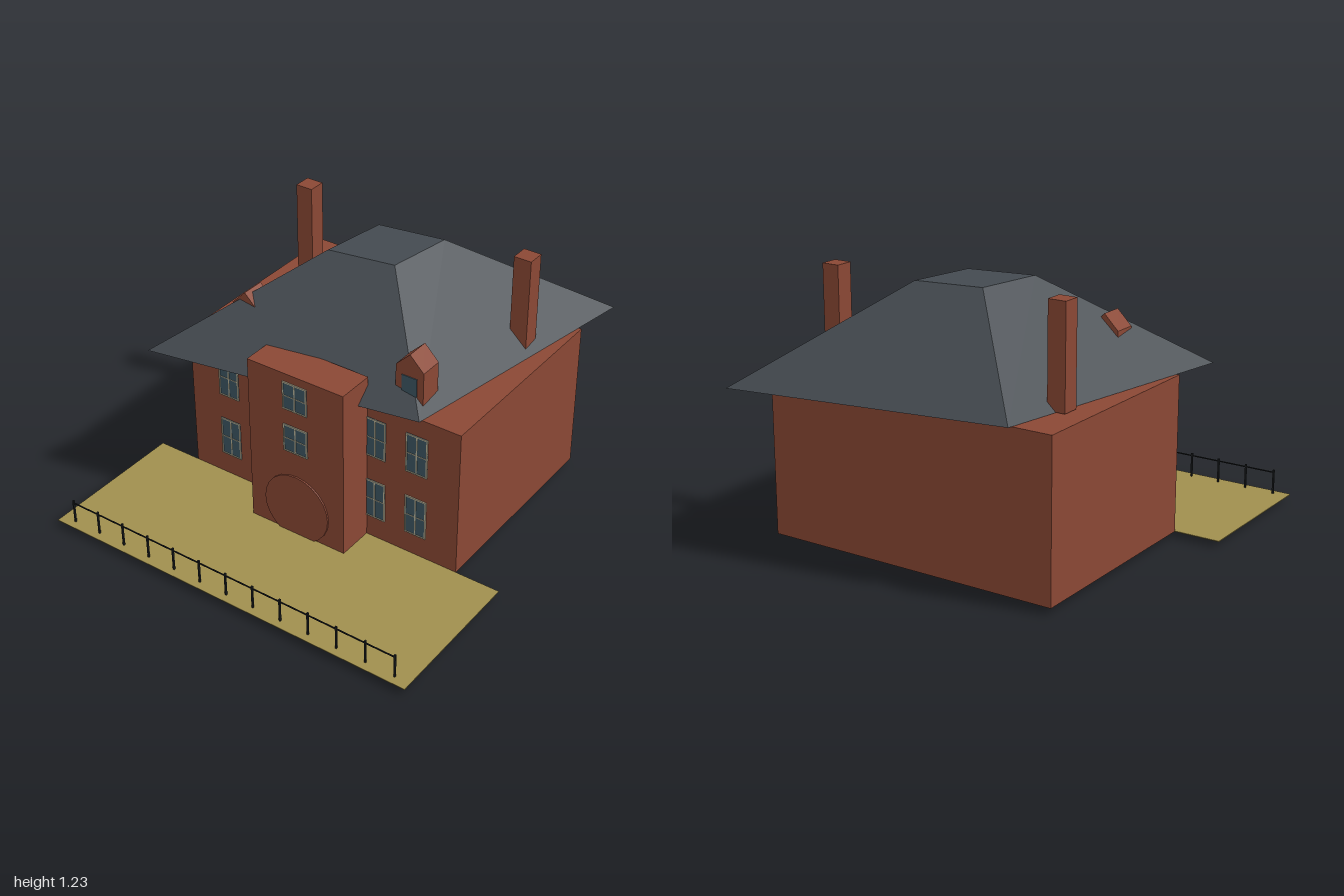
import * as THREE from 'three';

const mat = (name, color) => {
  const m = new THREE.MeshStandardMaterial({ color });
  m.name = name;
  return m;
};

export function createModel() {
  const brick = mat('brick', 0x8b4835);
  const slate = mat('slate', 0x444a50);
  const glass = mat('glass', 0x3e5763);
  const trim = mat('cream trim', 0xbdb79c);
  const grass = mat('dry lawn', 0xa08f4e);
  const iron = mat('dark iron', 0x1b1e20);
  const shade = mat('dark underside', 0x2a2010);
  const house = new THREE.Group();
  house.name = 'house';

  const add = (name, geometry, material, x = 0, y = 0, z = 0, parent = house) => {
    const mesh = new THREE.Mesh(geometry, material);
    mesh.name = name;
    mesh.position.set(x, y, z);
    parent.add(mesh);
    return mesh;
  };
  // Box given by its limits on each axis
  const box = (name, material, x0, x1, y0, y1, z0, z1, parent = house) =>
    add(name, new THREE.BoxGeometry(x1 - x0, y1 - y0, z1 - z0), material,
      (x0 + x1) / 2, (y0 + y1) / 2, (z0 + z1) / 2, parent);

  // Walls and projecting entrance bay
  box('walls', [brick, brick, brick, shade, brick, brick], -0.725, 0.725, 0.03, 0.76, -0.75, 0.27);
  box('entranceBay', brick, -0.253, 0.253, 0.03, 0.87, 0.265, 0.448);
  const disc = add('roundDoor', new THREE.CylinderGeometry(0.172, 0.172, 0.02, 24), brick, 0, 0.174, 0.446);
  disc.rotation.x = Math.PI / 2;

  // Lawn in front
  box('lawn', grass, -0.945, 0.945, 0.028, 0.032, 0.271, 1);

  // Twisted hipped roof with a flat top; corners run front left, front right, back right, back left
  const eaves = [[-0.76, 0.52], [0.53, 0.29], [0.757, -1], [-0.535, -0.775]].map(([x, z]) => [x, 0.762, z]);
  const top = [[-0.185, -0.055], [0.13, -0.11], [0.183, -0.425], [-0.133, -0.373]].map(([x, z]) => [x, 1.195, z]);
  const points = [];
  const quad = (a, b, c, d) => points.push(...a, ...b, ...c, ...a, ...c, ...d);
  for (let i = 0; i < 4; i++) {
    const j = (i + 1) % 4;
    quad(eaves[i], eaves[j], top[j], top[i]);
  }
  quad(...top);
  quad(...[...eaves].reverse());
  const roof = new THREE.BufferGeometry();
  roof.setAttribute('position', new THREE.Float32BufferAttribute(points, 3));
  roof.computeVertexNormals();
  add('roof', roof, slate);

  // Chimneys and gabled dormers, one on each side
  const gable = new THREE.Shape();
  gable.moveTo(-0.07, 0.79);
  gable.lineTo(0.07, 0.79);
  gable.lineTo(0.07, 0.957);
  gable.lineTo(0, 1.027);
  gable.lineTo(-0.07, 0.957);
  gable.closePath();
  const dormerGeometry = new THREE.ExtrudeGeometry(gable, { depth: 0.113, bevelEnabled: false });
  for (const s of [-1, 1]) {
    box('chimney', brick, s * 0.583 - 0.043, s * 0.583 + 0.043, 0.763, 1.23, -0.502, -0.417);
    add('dormer', dormerGeometry, brick, s * 0.435, 0, 0.111);
    box('dormerGlass', glass, s * 0.435 - 0.038, s * 0.435 + 0.038, 0.83, 0.918, 0.222, 0.228);
  }

  // Sash window: pane, surround and crossed glazing bars
  const addWindow = (x, y, w, h, z) => {
    const g = new THREE.Group();
    g.name = 'window';
    g.position.set(x, y, z);
    house.add(g);
    const a = w / 2, b = h / 2, t = 0.006;
    box('pane', glass, -a, a, -b, b, -0.002, 0.003, g);
    for (const s of [-1, 1]) {
      const cx = s * (a - t / 2), cy = s * (b - t / 2);
      box('frameSide', trim, cx - t / 2, cx + t / 2, -b, b, -0.002, 0.006, g);
      box('frameEnd', trim, -a, a, cy - t / 2, cy + t / 2, -0.002, 0.006, g);
    }
    box('uprightBar', trim, -0.003, 0.003, -b, b, -0.002, 0.005, g);
    box('crossBar', trim, -a, a, -0.002, 0.002, -0.002, 0.005, g);
  };
  for (const x of [-0.51, -0.295, 0.295, 0.51])
    for (const y of [0.24, 0.57]) addWindow(x, y, 0.11, 0.2, 0.27);
  for (const y of [0.54, 0.76]) addWindow(0, y, 0.128, 0.14, 0.448);

  // Railing along the front of the lawn
  box('fenceRail', iron, -0.875, 0.875, 0.135, 0.14, 0.959, 0.964);
  for (let i = 0; i < 13; i++) {
    const x = -0.872 + i * 0.1453;
    box('fencePost', iron, x - 0.004, x + 0.004, 0.03, 0.15, 0.957, 0.965);
  }
  return house;
}
